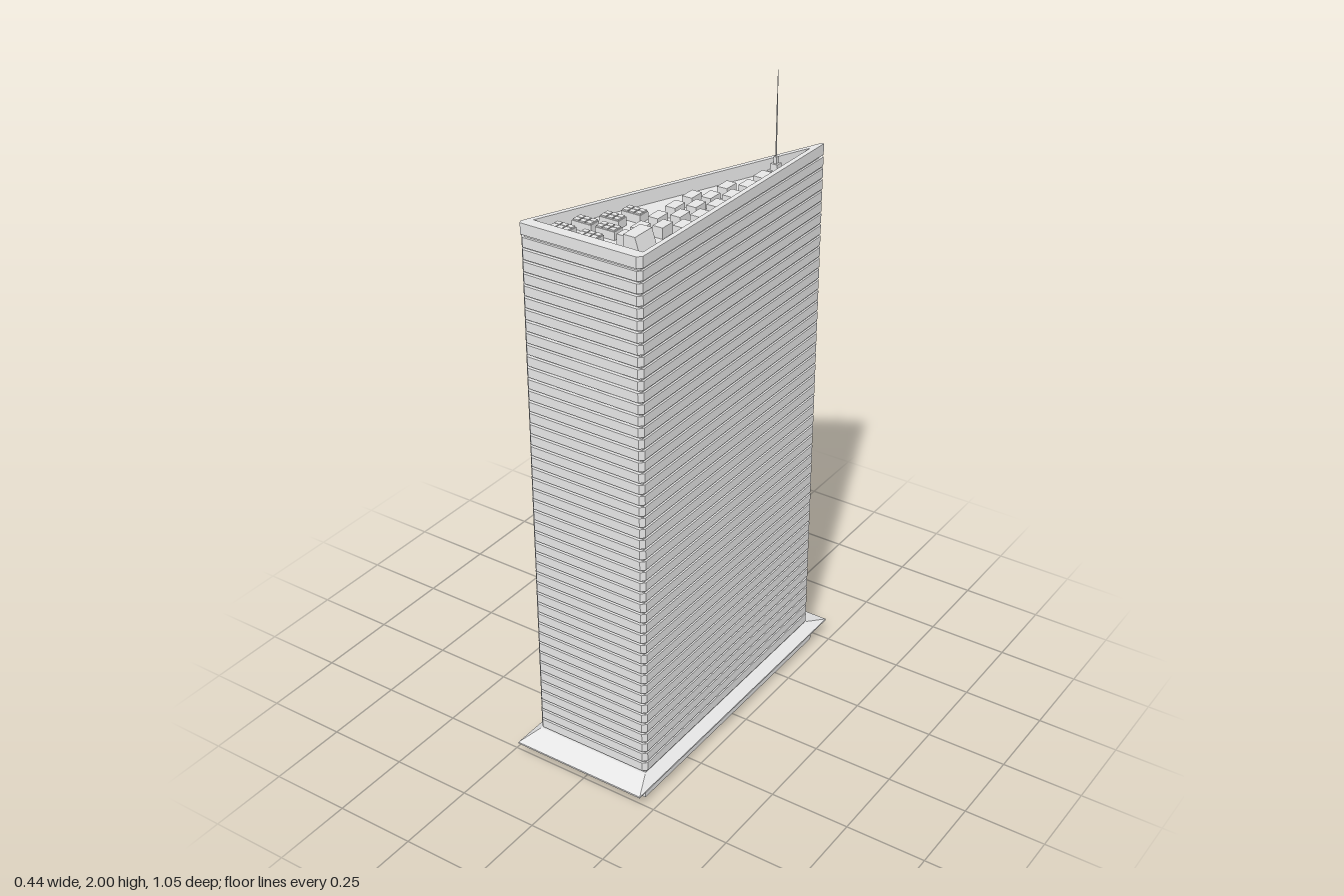
import * as THREE from 'three';
import { ConvexGeometry } from 'three/addons/geometries/ConvexGeometry.js';

const HX = 0.193, HZ = 0.457, C = 0.012;      // facade half sizes and corner chamfer
const FLOORS = 46, FULL = 42;                 // storeys, and storeys below the sloped cut
const Y0 = 0.075, ROOF = 1.69, TOP = 1.73;
const PITCH = (ROOF - Y0) / FLOORS, GAP = 0.007;

export function createModel() {
  const model = new THREE.Group();
  const wall = new THREE.MeshStandardMaterial({ color: 0xe7e7e7 });
  wall.name = 'pale cladding';

  const add = (name, geo, x = 0, y = 0, z = 0, parent = model) => {
    const mesh = new THREE.Mesh(geo, wall);
    mesh.name = name;
    mesh.position.set(x, y, z);
    parent.add(mesh);
  };
  const box = (name, w, h, d, x, y, z, parent = model) =>
    add(name, new THREE.BoxGeometry(w, h, d), x, y + h / 2, z, parent);

  // Upright slab from a plan outline of [x, z] corners, with an optional hole
  const plan = (pts) => pts.map(([x, z]) => new THREE.Vector2(x, -z));
  const slab = (pts, height, hole) => {
    const shape = new THREE.Shape(plan(pts));
    if (hole) shape.holes.push(new THREE.Path(plan(hole)));
    return new THREE.ExtrudeGeometry(shape, { depth: height, bevelEnabled: false }).rotateX(-Math.PI / 2);
  };
  const hull = (pts) => new ConvexGeometry(pts.map((p) => new THREE.Vector3(...p)));
  const rect = (x, y, z) => [[-x, y, -z], [x, y, -z], [x, y, z], [-x, y, z]];

  // Podium and sloping canopy
  box('podium', 0.4, 0.05, 0.936, 0, 0, 0);
  add('canopy', hull([...rect(0.221, 0.047, 0.527), ...rect(0.221, 0.052, 0.527), ...rect(0.19, 0.072, 0.455)]));

  // Recessed core, cut by a sloping plane at the back right corner
  const cx = HX - 0.006, cz = HZ - 0.01;
  const low = Y0 + FULL * PITCH;
  const corner = ROOF - (ROOF - low) * (cz + 0.3) / 0.6;
  add('core', hull([
    ...rect(cx, 0.06, cz),
    [cx, ROOF, cz], [-cx, ROOF, cz], [cx, ROOF, -cz],
    [-cx, ROOF, 0.3], [0.13, ROOF, -cz], [-cx, corner, -cz],
  ]));

  // Storey bands that run all the way round
  const right = [[-HX + C, HZ], [HX - C, HZ], [HX, HZ - C], [HX, -HZ + C], [HX - C, -HZ]];
  const ring = slab([[-HX, HZ - C], ...right, [-HX + C, -HZ], [-HX, -HZ + C]], PITCH - GAP);
  for (let i = 0; i < FULL; i++) add('storeyBand', ring, 0, Y0 + i * PITCH + GAP, 0);

  // Upper bands step back along the left and rear edges of the sloping roof
  const t = 0.013;
  for (let k = 0; k < FLOORS - FULL; k++) {
    const zs = -0.15 + 0.15 * k, xs = -0.065 + 0.064 * k;
    const strip = [
      [-HX, zs], [-HX, HZ - C], ...right, [xs, -HZ],
      [xs, -HZ + t], [HX - t, -HZ + t], [HX - t, HZ - t], [-HX + t, HZ - t], [-HX + t, zs],
    ];
    add('steppedBand', slab(strip, PITCH - GAP), 0, low + k * PITCH + GAP, 0);
  }

  // Triangular parapet over a recessed joint
  const inner = [[-0.168, 0.423], [0.178, 0.423], [0.178, -0.395]];
  add('parapetJoint', slab([[-0.18, 0.45], [0.187, 0.45], [0.187, -0.43]], GAP, inner), 0, ROOF, 0);
  const outer = [[-HX, HZ - C], [-HX + 0.006, HZ], [HX - C, HZ], [HX, HZ - C], [HX, -HZ + C], [HX - 0.008, -HZ + C]];
  add('parapet', slab(outer, TOP - ROOF - GAP, inner), 0, ROOF + GAP, 0);

  // Rows of roof vents
  const vents = [
    [0.155, [-0.18, -0.105, -0.025, 0.05, 0.13, 0.21]],
    [0.113, [-0.065, 0.015, 0.085, 0.16, 0.24]],
    [0.07, [0.04, 0.12, 0.2, 0.28]],
  ];
  for (const [x, zs] of vents) for (const z of zs) box('roofVent', 0.031, 0.032, 0.048, x, ROOF, z);

  // Cooling units, each with six panels on a tray
  const units = [[-0.005, 0.2], [-0.031, 0.262], [-0.076, 0.322], [-0.001, 0.322], [-0.101, 0.387], [-0.013, 0.387]];
  for (const [x, z] of units) {
    const unit = new THREE.Group();
    unit.name = 'coolingUnit';
    unit.position.set(x, ROOF, z);
    model.add(unit);
    box('unitTray', 0.062, 0.024, 0.037, 0, 0, 0, unit);
    for (let i = -1; i <= 1; i++) for (const j of [-1, 1])
      box('unitPanel', 0.017, 0.006, 0.015, i * 0.02, 0.022, j * 0.0085, unit);
  }

  // Plant room with a steep hood
  box('plantAnnex', 0.035, 0.04, 0.036, 0.078, ROOF, 0.355);
  box('plantRoom', 0.037, 0.056, 0.076, 0.114, ROOF, 0.355);
  const hood = [];
  for (const z of [0.317, 0.393])
    hood.push([0.132, ROOF, z], [0.132, ROOF + 0.056, z], [0.15, ROOF, z]);
  add('plantHood', hull(hood));

  // Mast on a stepped footing
  const mx = 0.154, mz = -0.25;
  box('mastFooting', 0.036, 0.02, 0.036, mx, ROOF, mz);
  box('mastPlinth', 0.022, 0.04, 0.022, mx, ROOF, mz);
  box('mastSocket', 0.01, 0.06, 0.01, mx, ROOF, mz);
  add('mastLower', new THREE.CylinderGeometry(0.0018, 0.002, 0.21, 8), mx, ROOF + 0.105, mz);
  add('mastUpper', new THREE.CylinderGeometry(0.001, 0.0012, 0.1, 8), mx, 1.95, mz);

  return model;
}
